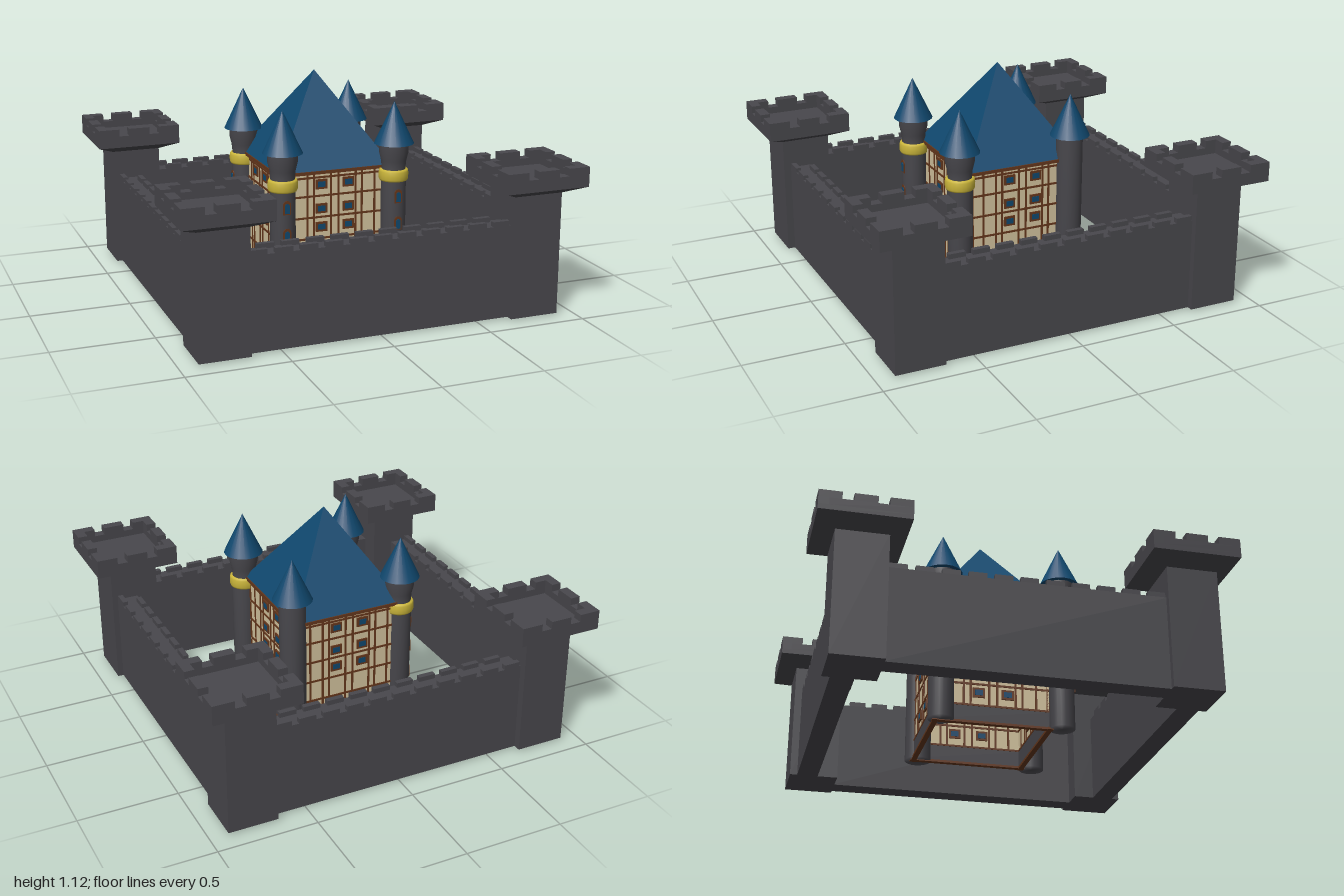
import * as THREE from 'three';

const mat = (name, color, side = THREE.FrontSide) => {
  const m = new THREE.MeshStandardMaterial({ color, side });
  m.name = name;
  return m;
};

export function createModel() {
  const stone = mat('stone', 0x48474c);
  const blue = mat('blueRoof', 0x10486e, THREE.DoubleSide);
  const cream = mat('plaster', 0xd2c29d);
  const timber = mat('timber', 0x65371c);
  const gold = mat('goldBand', 0xc9b43a);

  const model = new THREE.Group();
  model.name = 'castle';
  const group = (name, parent = model) => {
    const g = new THREE.Group();
    g.name = name;
    parent.add(g);
    return g;
  };
  const mesh = (parent, name, geo, material, x = 0, y = 0, z = 0) => {
    const m = new THREE.Mesh(geo, material);
    m.name = name;
    m.position.set(x, y, z);
    parent.add(m);
    return m;
  };
  // Box given by its centre in x and z and by its bottom and top heights
  const box = (parent, name, material, w, d, y0, y1, x = 0, z = 0) =>
    mesh(parent, name, new THREE.BoxGeometry(w, y1 - y0, d), material, x, (y0 + y1) / 2, z);
  // Four-sided frustum with axis-aligned faces, from half-widths
  const frustum = (top, bottom, h, open) => {
    const g = new THREE.CylinderGeometry(top * Math.SQRT2, bottom * Math.SQRT2, h, 4, 1, open)
      .rotateY(Math.PI / 4).toNonIndexed();
    g.computeVertexNormals();
    return g;
  };

  // Square corner towers with a flared, crenellated head
  for (const sx of [-1, 1]) for (const sz of [-1, 1]) {
    const t = group('cornerTower');
    t.position.set(sx * 0.784, 0, sz * 0.782);
    box(t, 'shaft', stone, 0.25, 0.25, 0.01, 0.63);
    mesh(t, 'flare', frustum(0.216, 0.125, 0.042), stone, 0, 0.643, 0);
    box(t, 'headFloor', stone, 0.432, 0.432, 0.664, 0.69);
    for (let k = 0; k < 4; k++) {
      const side = group('parapet', t);
      side.rotation.y = k * Math.PI / 2;
      box(side, 'parapetWall', stone, 0.382, 0.05, 0.69, 0.725, 0.025, 0.191);
      box(side, 'middleMerlon', stone, 0.108, 0.05, 0.725, 0.762, 0, 0.191);
      box(side, 'cornerMerlon', stone, 0.108, 0.05, 0.725, 0.762, 0.162, 0.191);
      box(side, 'cornerMerlonReturn', stone, 0.058, 0.05, 0.725, 0.762, -0.137, 0.191);
    }
  }

  // Curtain walls, each with a row of merlons along both edges
  for (let k = 0; k < 4; k++) {
    const w = group('curtainWall');
    w.rotation.y = k * Math.PI / 2;
    const z = k % 2 ? 0.825 : 0.815;
    box(w, 'wall', stone, 1.33, 0.108, 0.01, 0.474, 0, z);
    for (let i = 0; i < 11; i++) {
      const x = (i - 5) * 0.122;
      box(w, 'outerMerlon', stone, 0.085, 0.026, 0.474, 0.498, x, z + 0.041);
      if (i < 10) box(w, 'innerMerlon', stone, 0.085, 0.026, 0.474, 0.498, x + 0.061, z - 0.041);
    }
  }

  // Half-timbered keep, open underneath
  const keep = group('keep');
  keep.position.z = -0.033;
  for (let k = 0; k < 4; k++) {
    const s = group('keepSide', keep);
    s.rotation.y = k * Math.PI / 2;
    box(s, 'stoneBase', stone, 0.58, 0.02, 0.012, 0.09, 0, 0.28);
    box(s, 'plasterWall', cream, 0.58, 0.016, 0.09, 0.66, 0, 0.28);
    box(s, 'sill', timber, 0.6, 0.026, 0, 0.012, 0, 0.283);
    box(s, 'eaveBeam', timber, 0.615, 0.03, 0.65, 0.666, 0, 0.293);
    for (const y of [0.09, 0.2, 0.31, 0.42, 0.53, 0.625])
      box(s, 'rail', timber, 0.58, 0.024, y, y + 0.01, 0, 0.28);
    for (const x of [-0.285, -0.215, -0.146, -0.112, -0.02, 0.02, 0.112, 0.146, 0.215, 0.285])
      box(s, 'post', timber, 0.01, 0.024, 0.09, 0.65, x, 0.28);
    for (const y of [0.16, 0.375, 0.47, 0.595]) for (const x of [-0.072, 0.072]) {
      box(s, 'windowFrame', timber, 0.06, 0.03, y - 0.025, y + 0.025, x, 0.28);
      box(s, 'windowPane', blue, 0.038, 0.034, y - 0.014, y + 0.014, x, 0.28);
    }
  }
  mesh(keep, 'keepRoof', frustum(0.0001, 0.305, 0.454, true), blue, 0, 0.889, 0);

  // Round turrets; all but the one at the back on +x carry a gold band
  const lathe = (pts) => new THREE.LatheGeometry(pts.map(([r, y]) => new THREE.Vector2(r, y)), 20);
  const bandedBody = lathe([[0, 0.005], [0.063, 0.005], [0.063, 0.6], [0.06, 0.66], [0.064, 0.7],
    [0.074, 0.74], [0.075, 0.79]]);
  const plainBody = lathe([[0, 0.005], [0.067, 0.005], [0.067, 0.79]]);
  const bandGeo = lathe([[0.06, 0.596], [0.07, 0.598], [0.074, 0.607], [0.075, 0.626], [0.074, 0.645],
    [0.07, 0.654], [0.058, 0.656]]);
  const arch = (w, h) => {
    const a = new THREE.Shape();
    a.moveTo(-w, 0);
    a.lineTo(w, 0);
    a.lineTo(w, h - w);
    a.absarc(0, h - w, w, 0, Math.PI, false);
    return new THREE.ExtrudeGeometry(a, { depth: 0.008, bevelEnabled: false, curveSegments: 6 });
  };
  const frameGeo = arch(0.02, 0.07), paneGeo = arch(0.012, 0.05);
  for (const sx of [-1, 1]) for (const sz of [-1, 1]) {
    const t = group('turret');
    t.position.set(sx * 0.295, 0, sz > 0 ? 0.31 : -0.292);
    const plain = sx > 0 && sz < 0;
    mesh(t, 'turretBody', plain ? plainBody : bandedBody, stone);
    mesh(t, 'turretRoof', new THREE.ConeGeometry(0.1, 0.212, 20), blue, 0, 0.891, 0);
    if (plain) continue;
    mesh(t, 'goldBand', bandGeo, gold);
    // Arched windows on the outer face
    const windows = group('turretWindows', t);
    if (sz < 0) windows.rotation.y = -Math.PI / 2;
    for (const y of [0.2, 0.35, 0.49]) {
      mesh(windows, 'archFrame', frameGeo, timber, 0, y, 0.057);
      mesh(windows, 'archPane', paneGeo, blue, 0, y + 0.006, 0.06);
    }
  }
  return model;
}
